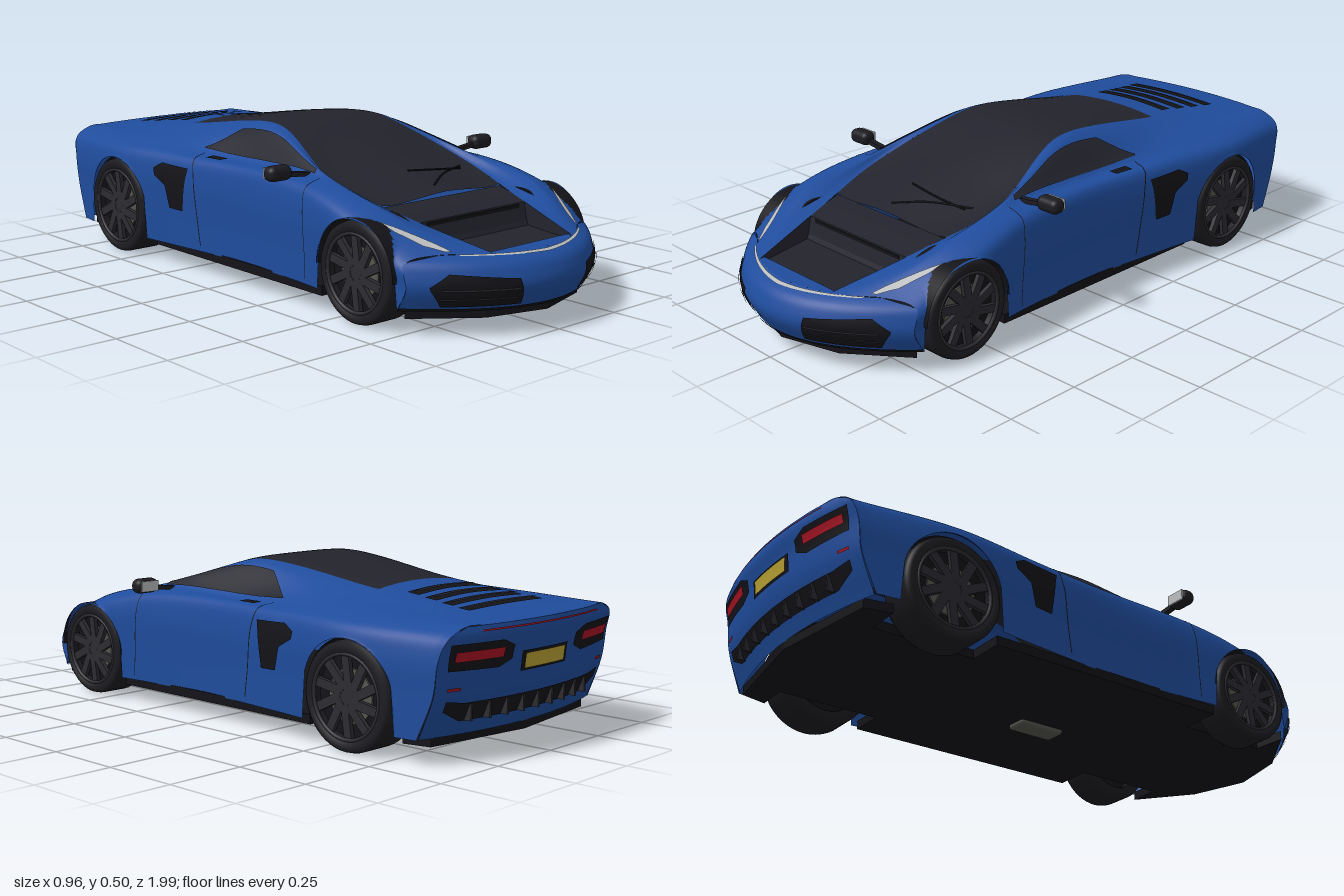
import * as THREE from 'three';
import { RoundedBoxGeometry } from 'three/addons/geometries/RoundedBoxGeometry.js';

const mat = (name, color) => new THREE.MeshStandardMaterial({ name, color, side: THREE.DoubleSide });
const V = (x, y, z) => new THREE.Vector3(x, y, z);
const lerp = THREE.MathUtils.lerp, clamp = THREE.MathUtils.clamp;

// smooth values along a key: points are [key, ...values]
const curve = (...pts) => q => {
  const n = pts.length - 1, dir = Math.sign(pts[n][0] - pts[0][0]);
  let i = 0;
  while (i < n - 1 && (q - pts[i + 1][0]) * dir > 0) i++;
  const a = pts[i], b = pts[i + 1], h = b[0] - a[0], t = clamp((q - a[0]) / h, 0, 1);
  const slope = (j, k) => {
    const p = pts[Math.max(j - 1, 0)], r = pts[Math.min(j + 1, n)];
    return (r[k] - p[k]) / (r[0] - p[0]) * h;
  };
  return a.slice(1).map((from, j) => (2 * t ** 3 - 3 * t * t + 1) * from + (t ** 3 - 2 * t * t + t) * slope(i, j + 1)
    + (3 * t * t - 2 * t ** 3) * b[j + 1] + (t ** 3 - t * t) * slope(i + 1, j + 1));
};

// lengthwise body rails: the flanks follow one plan width, the upper ones are points [z, x, y]
const plan = curve([.77, .40], [.59, .427], [.3, .405], [0, .397], [-.3, .422], [-.6, .448], [-.91, .413]);
const flank = (front, back, inset, height) => ({ front, back, at: z => [plan(z)[0] - inset, height(z)] });
const rail = (...pts) => ({ front: pts[0][0], back: pts[pts.length - 1][0], at: curve(...pts) });
const waist = curve([.774, .19], [.59, .28], [.35, .31], [-.915, .3]);
const shoulder = curve([.77, .215], [.6, .305], [.3, .365], [-.3, .37], [-.93, .36]);
const rails = [
  flank(.752, -.85, 0, () => .075),
  flank(.784, -.9, 0, z => .17 - .035 * z),
  flank(.774, -.915, 0, z => waist(z)[0]),
  flank(.77, -.935, .018, z => shoulder(z)[0]),
  rail([.8135, .30, .23], [.59, .335, .335], [.3, .325, .385], [-.1, .325, .385], [-.5, .36, .395], [-.947, .33, .39]), // belt
  rail([.857, .24, .23], [.6, .305, .325], [.35, .305, .387], [.05, .25, .47], [-.1, .245, .472], [-.4, .265, .425], [-.96, .27, .39]), // window top
  rail([.896, .17, .23], [.6, .24, .30], [.35, .285, .367], [.05, .215, .482], [-.1, .2, .492], [-.5, .18, .437], [-.974, .18, .39]), // roof edge
  rail([.935, 0, .23], [.56, 0, .325], [.05, 0, .49], [-.1, 0, .502], [-.5, 0, .45], [-.985, 0, .39]), // centre
];
const N = 14; // section spans, left sill (0) to right sill (14)
const wheels = [{ name: 'front', z: .59, r: .153, x: .355, w: .13 }, { name: 'rear', z: -.605, r: .163, x: .372, w: .142 }];

// body skin: t runs across the section, s along the car
const sections = new Map();
function section(s) {
  if (!sections.has(s)) {
    const half = rails.map(r => {
      const z = s > .3 ? lerp(.3, r.front, (s - .3) / .7) : s < -.7 ? lerp(-.7, r.back, (-.7 - s) / .3) : s;
      return V(...r.at(z), z);
    });
    const other = half.slice(0, -1).reverse().map(p => V(-p.x, p.y, p.z));
    sections.set(s, new THREE.CatmullRomCurve3([...half, ...other]));
  }
  return sections.get(s);
}
function skin(t, s) {
  const p = section(s).getPoint(clamp(t / N, 0, 1));
  if (Math.min(t, N - t) < 4) for (const w of wheels) { // wheel arches
    const d = (w.r + .007) ** 2 - (p.z - w.z) ** 2;
    if (d > 0) p.y = Math.max(p.y, w.r + Math.sqrt(d));
  }
  return p;
}
// nose and tail: rows are [y, z at the middle, half width], bowed in plan
const noseRows = curve([.075, .966, .4], [.14, 1, .4], [.19, .99, .4], [.215, .97, .384], [.23, .935, .30]);
const tailRows = curve([.075, -.91, .413], [.2, -.96, .413], [.3, -.975, .413], [.36, -.99, .395], [.39, -.985, .33]);
const nose = (x, y) => V(x, y, noseRows(y)[0] - 1.35 * x * x);
const tail = (x, y) => V(x, y, tailRows(y)[0] + .35 * x * x);

export function createModel() {
  const car = new THREE.Group();
  car.name = 'sportsCar';
  const blue = mat('bodyBlue', 0x1f4c9c), glass = mat('darkGlass', 0x23232d), black = mat('blackTrim', 0x131318),
    rubber = mat('tyreRubber', 0x1c1c21), rimGrey = mat('rimGrey', 0x2b2b31), silver = mat('silver', 0xb9bbbd),
    red = mat('tailRed', 0xa81424), yellow = mat('plateYellow', 0xb8a032), grey = mat('undersideGrey', 0x55564f);

  const add = (name, geo, m, x = 0, y = 0, z = 0, parent = car) => {
    const mesh = new THREE.Mesh(geo, m);
    mesh.name = name;
    mesh.position.set(x, y, z);
    parent.add(mesh);
    return mesh;
  };
  // grid sheet through fn(u, v)
  const sheet = (name, m, fn, nu, nv, flat = false) => {
    let g = new THREE.PlaneGeometry(1, 1, nu, nv);
    const pos = g.attributes.position, uv = g.attributes.uv;
    for (let i = 0; i < pos.count; i++) {
      const p = fn(uv.getX(i), uv.getY(i));
      pos.setXYZ(i, p.x, p.y, p.z);
    }
    if (flat) g = g.toNonIndexed();
    g.computeVertexNormals();
    return add(name, g, m);
  };
  const along = (pts, u) => {
    const f = u * (pts.length - 1), i = Math.min(Math.floor(f), pts.length - 2);
    return pts[i].map((a, k) => lerp(a, pts[i + 1][k], f - i));
  };
  // thin painted panel between two edge lines, lifted off a surface
  const decal = (name, m, surface, lo, hi, side = 1, lift = .004, nu = 24, nv = 6) => sheet(name, m, (u, v) => {
    const a = along(lo, u), b = along(hi, u), c = lerp(a[0], b[0], v), d = lerp(a[1], b[1], v), e = .004;
    const p = surface(c, d);
    const n = surface(c + e, d).sub(surface(c - e, d)).cross(surface(c, d + e).sub(surface(c, d - e))).normalize();
    if (n.dot(V(p.x, p.y - .2, p.z * .4)) < 0) n.negate();
    p.addScaledVector(n, lift);
    p.x *= side;
    return p;
  }, nu, nv);
  const rect = (a0, a1, b0, b1) => [[[a0, b0], [a1, b0]], [[a0, b1], [a1, b1]]];

  // body shell
  const band = (name, m, t0, t1, s0, s1, nt, ns) =>
    sheet(name, m, (u, v) => skin(lerp(t0, t1, u), lerp(s0, s1, v)), nt, ns);
  band('leftBody', blue, 0, 6, 1, -1, 36, 180);
  band('rightBody', blue, 8, 14, 1, -1, 36, 180);
  band('engineCover', blue, 6, 8, -.5, -1, 12, 30);
  band('windscreenRoofRearWindow', glass, 6, 8, .57, -.5, 12, 70);
  const fascia = (name, rows, surface, y0, y1) => sheet(name, blue, (u, v) => {
    const y = lerp(y0, y1, v);
    return surface(lerp(-1, 1, u) * rows(y)[1], y);
  }, 48, 24);
  fascia('nose', noseRows, nose, .075, .23);
  fascia('tail', tailRows, tail, .075, .39);
  sheet('noseLedge', blue, (u, v) => {
    const x = lerp(-.17, .17, u);
    return V(x, .23, lerp(.935 - 1.35 * x * x, .88, v));
  }, 16, 1);

  // open front luggage well with a stepped floor
  sheet('frontWell', glass, (u, v) => {
    const p = skin(6, lerp(1, .57, v)), col = Math.round(u * 3);
    const floor = lerp(.215, .295, clamp((.68 - p.z) / .02, 0, 1)) + Math.max(0, .64 - p.z) * .15;
    return V(col < 2 ? p.x : -p.x, col % 3 ? Math.min(p.y, floor) : p.y, p.z);
  }, 3, 50, true);
  add('wellSeam', new THREE.BoxGeometry(.4, .012, .008), black, 0, .275, .662);

  // floor pan with wheel cut-outs
  const half = [[.2, .9], [.38, .76], [.27, .755], [.27, .43], [.4, .43], [.4, -.43], [.28, -.43], [.28, -.775], [.39, -.775], [.37, -.86]];
  const outline = [[0, .955], ...half, [0, -.91], ...half.slice().reverse().map(([x, z]) => [-x, z])];
  const pan = new THREE.ExtrudeGeometry(new THREE.Shape(outline.map(p => new THREE.Vector2(...p))), { depth: .03, bevelEnabled: false });
  pan.rotateX(Math.PI / 2);
  add('floorPan', pan, black, 0, .08, 0);
  add('underBox', new RoundedBoxGeometry(.08, .025, .17, 3, .012), grey, .04, .048, .04);

  // nose and tail details on the middle
  decal('noseLine', silver, nose, [[-.26, .2265], [0, .221], [.26, .2265]], [[-.26, .2295], [0, .226], [.26, .2295]], 1, .003, 32, 1);
  decal('lowerLip', black, nose, ...rect(-.4, .4, .077, .086), 1, .004, 32, 1);
  decal('numberPlate', yellow, tail, ...rect(-.095, .095, .25, .295), 1, .007);
  decal('plateRecess', black, tail, ...rect(-.11, .11, .243, .302));
  decal('rearGrille', black, tail, [[-.37, .155], [-.3, .12], [.3, .12], [.37, .155]], [[-.37, .185], [-.3, .175], [.3, .175], [.37, .185]]);
  decal('brakeStrip', red, tail, ...rect(-.28, .28, .373, .378), 1, .003, 24, 1);
  for (let i = -4; i <= 4; i++) add('diffuserFin', new THREE.BoxGeometry(.008, .05, .03), rimGrey, i * .07, .145, -.942 + .35 * (i * .07) ** 2);

  // engine louvres
  for (let i = 0; i < 4; i++) {
    const z = -.61 - .073 * i, inset = .17 - .055 * i;
    decal('louvre', black, skin, ...rect(6 + inset, 8 - inset, z - .022, z + .022));
    decal('louvreBlade', glass, skin, ...rect(6.1 + inset, 7.9 - inset, z - .007, z + .007), 1, .009);
  }

  // wipers
  const wiper = (...pts) => add('wiper', new THREE.TubeGeometry(new THREE.CatmullRomCurve3(pts.map(([t, s]) => {
    const p = skin(t, s);
    p.y += .006;
    return p;
  })), 12, .003, 5), black);
  wiper([7.05, .53], [6.7, .46], [6.3, .40]);
  wiper([7.1, .42], [6.7, .43], [6.35, .42]);

  for (const side of [1, -1]) {
    const paint = (name, m, surface, lo, hi, lift) => decal(name, m, surface, lo, hi, side, lift);
    paint('headlight', silver, skin, [[4.3, .99], [3.85, .95], [3.55, .86], [3.45, .8]], [[4.6, .985], [4.4, .94], [3.95, .88], [3.5, .8]]);
    paint('frontGrille', black, nose, [[.12, .092], [.32, .092], [.352, .14]], [[.14, .168], [.31, .186], [.355, .15]]);
    for (const y of [.115, .14]) paint('grilleBar', rimGrey, nose, ...rect(.14, .33, y, y + .006), .008);
    paint('sideWindow', glass, skin, [[4.2, .31], [4.1, .1], [4.1, -.13], [4.15, -.24]], [[4.7, .30], [4.95, .1], [4.95, -.13], [4.2, -.245]]);
    paint('sideIntake', black, skin, [[1.15, -.245], [1.15, -.31], [1.7, -.33], [1.95, -.385]], [[2.45, -.22], [2.5, -.3], [2.55, -.35], [2.25, -.39]]);
    paint('doorHandle', black, skin, ...rect(3.3, 3.75, -.17, -.1));
    paint('doorSeamFront', black, skin, [[.2, .405], [3.9, .36]], [[.2, .401], [3.9, .356]], .002);
    paint('doorSeamRear', black, skin, [[.2, -.16], [3.9, -.22]], [[.2, -.164], [3.9, -.224]], .002);
    paint('tailLightHousing', black, tail, [[.15, .285], [.2, .265], [.38, .27]], [[.15, .325], [.2, .345], [.385, .345]]);
    paint('tailLight', red, tail, ...rect(.19, .365, .295, .325), .008);
    paint('reflector', red, tail, ...rect(.33, .375, .213, .222));

    // door mirror
    add('mirrorHousing', new RoundedBoxGeometry(.085, .047, .05, 4, .02), rubber, side * .438, .402, .275);
    add('mirrorGlass', new THREE.BoxGeometry(.066, .034, .006), silver, side * .438, .402, .249);
    add('mirrorArm', new THREE.BoxGeometry(.09, .014, .02), rubber, side * .365, .39, .275).rotation.z = side * .12;

    for (const w of wheels) {
      // wheel well
      const liner = new THREE.CylinderGeometry(w.r + .008, w.r + .008, .15, 32, 1, true, 0, Math.PI);
      add(w.name + 'WheelWell', liner.rotateZ(Math.PI / 2), black, side * .345, w.r, w.z);
      add(w.name + 'WellWall', new THREE.CircleGeometry(w.r + .008, 32, 0, Math.PI).rotateY(Math.PI / 2), black, side * .272, w.r, w.z);

      // wheel, axis along its own y with the outer face up
      const wheel = new THREE.Group();
      wheel.name = w.name + 'Wheel';
      wheel.position.set(side * w.x, w.r, w.z);
      wheel.rotation.z = -side * Math.PI / 2;
      car.add(wheel);
      const r = w.r, h = w.w / 2;
      const profile = [[.76, -h], [.92, -h], [1, -h + .02], [1, h - .02], [.98, h - .008], [.92, h], [.78, h - .002], [.75, h - .015], [.75, -h]];
      add('tyre', new THREE.LatheGeometry(profile.map(([a, y]) => new THREE.Vector2(a * r, y)), 48), rubber, 0, 0, 0, wheel);
      add('rimBack', new THREE.CylinderGeometry(r * .75, r * .75, .04, 40), black, 0, h - .05, 0, wheel);
      add('brakeDisc', new THREE.CylinderGeometry(r * .5, r * .5, .006, 32), grey, 0, h - .028, 0, wheel);
      add('rimRing', new THREE.TorusGeometry(r * .76, .006, 8, 48).rotateX(Math.PI / 2), rimGrey, 0, h - .005, 0, wheel);
      add('hub', new THREE.CylinderGeometry(r * .16, r * .2, .024, 20), rimGrey, 0, h - .02, 0, wheel);
      for (let i = 0; i < 10; i++) {
        const spoke = new THREE.BoxGeometry(r * .62, .014, r * .17);
        spoke.rotateY(.15);
        spoke.translate(r * .45, h - .014, 0);
        spoke.rotateY(i * Math.PI / 5);
        add('spoke', spoke, rimGrey, 0, 0, 0, wheel);
      }
    }
  }
  return car;
}
